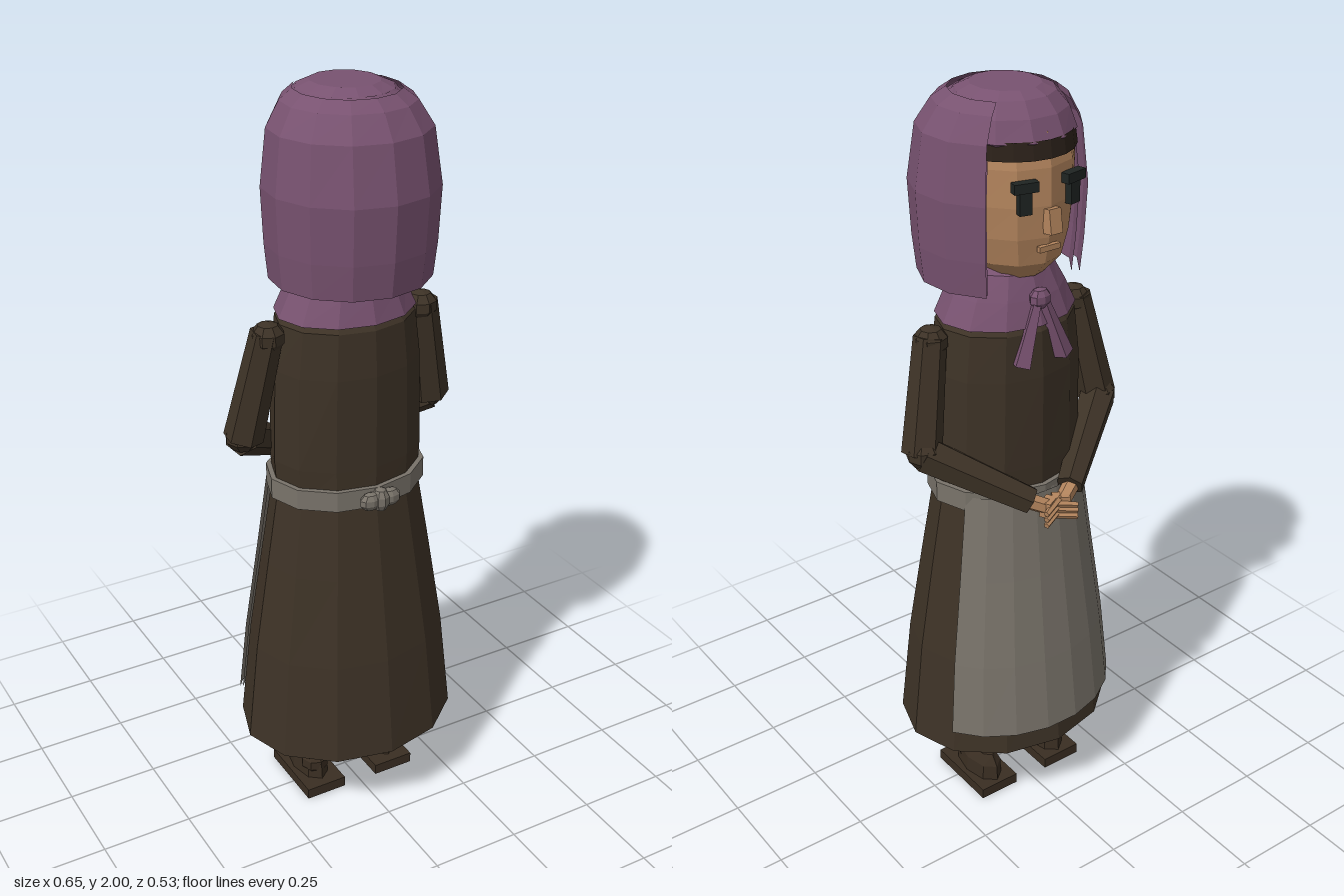
import * as THREE from 'three';

const flat = (name, color, double) => new THREE.MeshStandardMaterial({
  name, color, flatShading: true, side: double ? THREE.DoubleSide : THREE.FrontSide });

// Skin through elliptical rings [y, rx, rz, centreZ], bottom to top; angle 0 points to -z (the face side)
function loft(rings, n, from = -180, to = 180) {
  const pos = [], idx = [];
  for (const [y, rx, rz, cz = 0] of rings) {
    for (let j = 0; j <= n; j++) {
      const a = THREE.MathUtils.degToRad(from + (to - from) * j / n);
      pos.push(rx * Math.sin(a), y, cz - rz * Math.cos(a));
    }
  }
  for (let i = 0; i < rings.length - 1; i++) {
    for (let j = 0; j < n; j++) {
      const a = i * (n + 1) + j, b = a + n + 1;
      idx.push(a, b, a + 1, a + 1, b, b + 1);
    }
  }
  const g = new THREE.BufferGeometry();
  g.setAttribute('position', new THREE.Float32BufferAttribute(pos, 3));
  g.setIndex(idx);
  g.computeVertexNormals();
  return g;
}

export function createModel() {
  const root = new THREE.Group();
  root.name = 'womanInHeadscarf';
  const dress = flat('darkBrownCloth', 0x3d3226);
  const shoe = flat('shoeBrown', 0x3a2e22);
  const scarf = flat('purpleCloth', 0x785270, true);
  const linen = flat('greyLinen', 0x79736a, true);
  const skin = flat('skin', 0xb5865e);
  const hair = flat('darkHair', 0x2b2119, true);
  const eye = flat('eyeBlack', 0x1f2422);

  const add = (name, geo, mat, x = 0, y = 0, z = 0) => {
    const m = new THREE.Mesh(geo, mat);
    m.name = name;
    m.position.set(x, y, z);
    root.add(m);
    return m;
  };
  const box = (name, mat, w, h, d, x, y, z) => add(name, new THREE.BoxGeometry(w, h, d), mat, x, y, z);
  const ball = (name, mat, rx, ry, rz, x, y, z) =>
    add(name, new THREE.SphereGeometry(1, 8, 5).scale(rx, ry, rz), mat, x, y, z);
  // Tapered tube from p to q
  const limb = (name, mat, p, q, r0, r1, n = 6) => {
    const a = new THREE.Vector3(...p), b = new THREE.Vector3(...q), d = b.clone().sub(a);
    const m = add(name, new THREE.CylinderGeometry(r1, r0, d.length(), n), mat);
    m.position.copy(a).add(b).multiplyScalar(0.5);
    m.quaternion.setFromUnitVectors(new THREE.Vector3(0, 1, 0), d.normalize());
    return m;
  };

  // Skirt with closed underside, and bodice
  add('skirt', loft([
    [0.22, 0, 0], [0.22, 0.305, 0.257, 0.005], [0.5, 0.275, 0.227, 0.005],
    [0.75, 0.235, 0.192, 0.003], [0.96, 0.2, 0.163]], 12), dress);
  add('bodice', loft([
    [0.95, 0.2, 0.16], [1.05, 0.207, 0.161], [1.3, 0.2, 0.16],
    [1.42, 0.185, 0.152], [1.455, 0.15, 0.125], [1.455, 0, 0]], 12), dress);

  // Waistband, back bow and apron
  add('waistband', loft([
    [0.945, 0.2, 0.162], [0.945, 0.217, 0.175], [1, 0.217, 0.175], [1, 0.2, 0.162]], 12), linen);
  ball('bowKnot', linen, 0.024, 0.034, 0.026, 0, 0.97, 0.183);
  for (const s of [-1, 1]) ball('bowLoop', linen, 0.032, 0.025, 0.02, s * 0.028, 0.97, 0.182);
  const apronRings = [[0.29, 0.305, 0.268], [0.5, 0.283, 0.243], [0.75, 0.245, 0.21], [0.985, 0.211, 0.18]];
  add('apron', loft(apronRings, 7, -62, 62), linen);
  add('apronLining', loft(apronRings.map(([y, rx, rz]) => [y, rx - 0.008, rz - 0.008]), 7, -62, 62), linen);

  // Arms folded so the hands meet in front of the waist
  for (const s of [-1, 1]) {
    ball('shoulder', dress, 0.045, 0.04, 0.045, s * 0.22, 1.397, 0.005);
    limb('upperArm', dress, [s * 0.222, 1.41, 0.005], [s * 0.278, 1.12, -0.03], 0.042, 0.052);
    ball('elbow', dress, 0.049, 0.045, 0.05, s * 0.275, 1.125, -0.038);
    limb('forearm', dress, [s * 0.277, 1.12, -0.04], [s * 0.063, 0.985, -0.195], 0.05, 0.037);
    limb('wrist', skin, [s * 0.07, 0.985, -0.192], [s * 0.025, 0.962, -0.213], 0.022, 0.021);
    box('palm', skin, 0.045, 0.042, 0.03, s * 0.02, 0.96, -0.213).rotation.y = s * 0.5;
    for (let i = 0; i < 3; i++) {
      const y = 0.975 - i * 0.017 - (s > 0 ? 0.006 : 0);
      limb('finger', skin, [s * 0.015, y, -0.215], [-s * 0.05, y - 0.012, -0.245], 0.01, 0.008, 5);
    }
  }

  // Legs and shoes
  for (const s of [-1, 1]) {
    const x = s * 0.11;
    limb('leg', dress, [x, 0.1, 0.016], [x, 0.3, 0.02], 0.043, 0.057, 8);
    ball('ankle', shoe, 0.04, 0.042, 0.045, x, 0.07, 0.015);
    box('sole', shoe, 0.118, 0.03, 0.215, x, 0.015, -0.018);
    add('shoeUpper', loft([
      [0.03, 0.045, 0.088, -0.025], [0.075, 0.042, 0.085, -0.026],
      [0.105, 0.026, 0.062, -0.028], [0.108, 0, 0, -0.028]], 8), shoe, x);
  }

  // Neck, head and face
  limb('neck', skin, [0, 1.44, 0], [0, 1.6, 0], 0.07, 0.065, 8);
  add('head', loft([
    [1.54, 0, 0, -0.03], [1.555, 0.07, 0.09, -0.03], [1.6, 0.125, 0.15, -0.01], [1.67, 0.15, 0.175],
    [1.75, 0.16, 0.181], [1.84, 0.161, 0.179], [1.92, 0.148, 0.162], [1.965, 0, 0]], 12), skin);
  add('hairline', loft([[1.862, 0.164, 0.181], [1.905, 0.158, 0.174]], 8, -65, 65), hair);
  for (const s of [-1, 1]) {
    box('eyebrow', eye, 0.062, 0.024, 0.024, s * 0.07, 1.806, -0.172).rotation.y = -s * 0.22;
    box('eye', eye, 0.032, 0.06, 0.018, s * 0.07, 1.77, -0.171).rotation.y = -s * 0.22;
  }
  box('nose', skin, 0.034, 0.06, 0.03, 0, 1.715, -0.185).rotation.x = 0.15;
  box('mouth', skin, 0.06, 0.014, 0.012, 0, 1.645, -0.173);

  // Headscarf: side and back veil open at the face, and the crown with its front brim
  const veil = [
    [1.53, 0.205, 0.198, 0.027], [1.62, 0.214, 0.208, 0.028], [1.76, 0.22, 0.216, 0.029],
    [1.9, 0.202, 0.196, 0.024], [1.96, 0.165, 0.165, 0.016], [1.985, 0.13, 0.135, 0.01]];
  add('veil', loft(veil, 10, 43, 317), scarf);
  add('veilLining', loft(veil.map(([y, rx, rz, cz]) => [y, rx - 0.02, rz - 0.02, cz]), 10, 43, 317), scarf);
  add('crown', loft([
    [1.89, 0.158, 0.168], [1.9, 0.166, 0.176], [1.95, 0.15, 0.153],
    [1.985, 0.12, 0.122], [2, 0.085, 0.09], [2, 0, 0]], 12, -165, 195), scarf);

  // Neck drape, knot and two tails
  add('neckDrape', loft([
    [1.435, 0.187, 0.153], [1.5, 0.155, 0.134], [1.56, 0.12, 0.112], [1.58, 0.08, 0.08]], 12), scarf);
  ball('scarfKnot', scarf, 0.03, 0.028, 0.022, 0, 1.505, -0.142);
  for (const s of [-1, 1]) {
    limb('scarfTail', scarf, [s * 0.01, 1.5, -0.145], [s * 0.065, 1.345, -0.155], 0.012, 0.026, 4);
  }
  return root;
}
